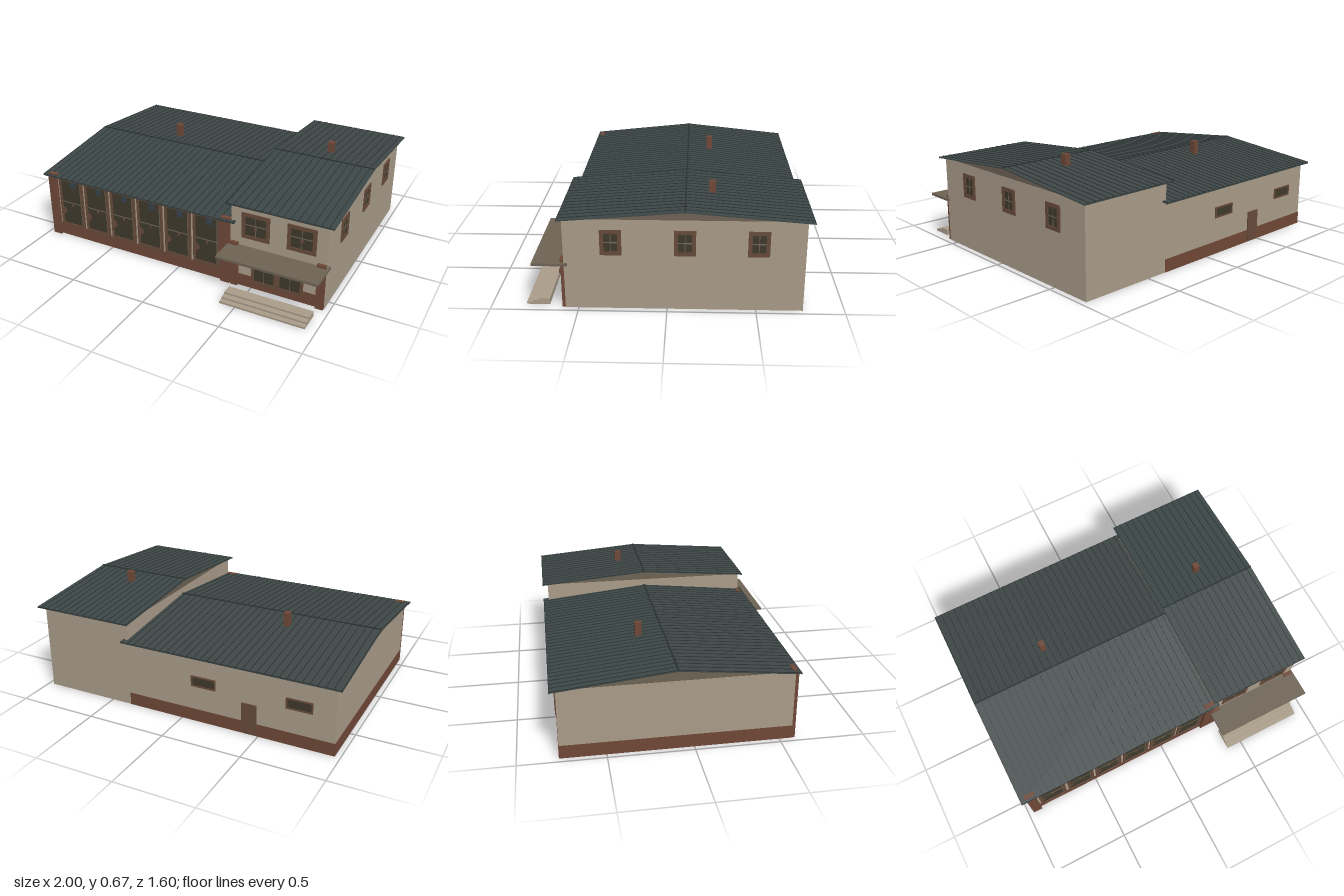
import * as THREE from 'three';

const mat = (name, color) => {
  const m = new THREE.MeshStandardMaterial({ color });
  m.name = name;
  return m;
};

export function createModel() {
  const model = new THREE.Group();
  model.name = 'firehouseBuilding';
  const M = {
    wall: mat('plaster', 0xa89b88),
    trim: mat('taupeTrim', 0x6d6254),
    brick: mat('brick', 0x6e4737),
    frame: mat('brownFrame', 0x66493a),
    glass: mat('darkGlass', 0x3f392b),
    pane: mat('bluePane', 0x36434c),
    roof: mat('roofMetal', 0x3d4646),
    rib: mat('roofRib', 0x2a3131),
  };

  const add = (parent, name, geometry, material) => {
    const mesh = new THREE.Mesh(geometry, material);
    mesh.name = name;
    parent.add(mesh);
    return mesh;
  };
  // Box given by its limits on each axis
  const box = (parent, name, material, x0, x1, y0, y1, z0, z1) => {
    const g = new THREE.BoxGeometry(x1 - x0, y1 - y0, z1 - z0);
    g.translate((x0 + x1) / 2, (y0 + y1) / 2, (z0 + z1) / 2);
    return add(parent, name, g, material);
  };
  // Profile of [z, y] points swept along x
  const prism = (parent, name, material, points, x0, x1) => {
    const shape = new THREE.Shape(points.map(([z, y]) => new THREE.Vector2(-z, y)));
    const g = new THREE.ExtrudeGeometry(shape, { depth: x1 - x0, bevelEnabled: false });
    g.rotateY(Math.PI / 2);
    g.translate(x0, 0, 0);
    return add(parent, name, g, material);
  };

  const FRONT = 0.575, BACK = -0.765, RIDGE = -0.1;

  // Ribbed gable roof with its gable infill
  function gableRoof(name, x0, x1, wall0, wall1, eave, ridge) {
    const g = new THREE.Group();
    g.name = name;
    const t = 0.006, zf = 0.6, zb = -0.8;
    prism(g, 'roofSheet', M.roof, [[zf, eave - t], [zf, eave], [RIDGE, ridge], [zb, eave],
      [zb, eave - t], [RIDGE, ridge - t]], x0, x1);
    prism(g, 'gable', M.trim, [[FRONT, eave - t], [RIDGE, ridge - t], [BACK, eave - t]], wall0, wall1);
    const r = 0.003, step = 0.0446;
    for (let x = x0 + 0.002; x < x1 - 0.004; x += step) {
      prism(g, 'roofRib', M.rib, [[zf, eave - t], [zf, eave + r], [RIDGE, ridge + r], [zb, eave + r],
        [zb, eave - t], [RIDGE, ridge - 0.002]], x, x + 0.004);
    }
    box(g, 'ridgeCap', M.rib, x0, x1, ridge - 0.002, ridge + 0.004, RIDGE - 0.005, RIDGE + 0.005);
    for (const [a, b] of [[zf - 0.003, zf], [zb, zb + 0.003]])
      box(g, 'eaveEdge', M.rib, x0, x1, eave - t - 0.002, eave + 0.001, a, b);
    model.add(g);
  }

  // Framed window facing +z, centred on its own origin
  function framedWindow(name, w, h, b, mullionV = true, barY = 0, depth = 0.008) {
    const g = new THREE.Group();
    g.name = name;
    const X = w / 2, Y = h / 2;
    for (const s of [-1, 1]) {
      const x = s * (X - b / 2), y = s * (Y - b / 2);
      box(g, 'frameSide', M.frame, x - b / 2, x + b / 2, -Y, Y, -0.002, depth);
      box(g, 'frameRail', M.frame, -X + b, X - b, y - b / 2, y + b / 2, -0.002, depth);
    }
    box(g, 'glass', M.glass, -X + b, X - b, -Y + b, Y - b, -0.002, 0.003);
    box(g, 'crossBar', M.trim, -X + b, X - b, barY - 0.003, barY + 0.003, 0, 0.005);
    if (mullionV) box(g, 'mullion', M.trim, -0.002, 0.002, -Y + b, Y - b, 0, 0.0045);
    model.add(g);
    return g;
  }
  const disc = (parent, name, material, r, x, y, z, start = 0, sweep = Math.PI * 2) => {
    const m = add(parent, name, new THREE.CircleGeometry(r, 16, start, sweep), material);
    m.position.set(x, y, z);
  };

  // Low hall and tall wing
  box(model, 'hallBase', M.brick, -0.967, 0.365, 0, 0.08, BACK - 0.002, FRONT + 0.002);
  box(model, 'hallWalls', M.wall, -0.965, 0.365, 0.08, 0.425, BACK, FRONT);
  box(model, 'wingWalls', M.wall, 0.365, 0.965, 0, 0.546, BACK, FRONT);
  gableRoof('hallRoof', -1, 0.395, -0.965, 0.365, 0.432, 0.505);
  gableRoof('wingRoof', 0.34, 1, 0.365, 0.965, 0.552, 0.61);

  // Chimneys
  for (const [x, y0, y1] of [[-0.455, 0.47, 0.575], [0.665, 0.58, 0.665]])
    box(model, 'chimney', M.brick, x - 0.018, x + 0.018, y0, y1, -0.27, -0.23);

  // Six glazed bays of the hall
  for (let i = 0; i < 6; i++) {
    const bay = framedWindow('bayDoor', 0.184, 0.345, 0.017, false, 0.0);
    bay.position.set(-0.8 + 0.2 * i, 0.2525, FRONT);
    disc(bay, 'roundPanel', M.frame, 0.026, -0.075, -0.065, 0.004, -Math.PI / 2, Math.PI);
    box(bay, 'bluePane', M.pane, -0.004, 0.036, 0.108, 0.155, 0.002, 0.004);
    box(bay, 'handle', M.frame, -0.002, 0.01, -0.025, -0.006, 0.002, 0.006);
    box(bay, 'doorStile', M.trim, 0.068, 0.073, -0.155, 0.155, 0.002, 0.005);
  }
  box(model, 'bayLintel', M.brick, -0.91, 0.3, 0.42, 0.432, FRONT - 0.005, FRONT + 0.01);

  // Brick pillars with caps
  for (const [x0, x1, top] of [[-0.965, -0.905, 0.43], [0.3, 0.36, 0.43], [0.367, 0.413, 0.288], [0.913, 0.962, 0.288]]) {
    box(model, 'pillar', M.brick, x0, x1, 0, top, 0.56, 0.594);
    box(model, 'pillarCap', M.brick, x0 - 0.003, x1 + 0.003, top, top + 0.011, 0.555, top > 0.4 ? 0.583 : 0.597);
  }

  // Entrance: brick skirting, double doors, lamps, canopy and steps
  box(model, 'entranceSkirtLeft', M.brick, 0.413, 0.5, 0, 0.08, FRONT - 0.005, FRONT + 0.004);
  box(model, 'entranceSkirtRight', M.brick, 0.83, 0.913, 0, 0.08, FRONT - 0.005, FRONT + 0.004);
  box(model, 'threshold', M.brick, 0.5, 0.83, 0, 0.04, FRONT - 0.005, FRONT + 0.004);
  for (const x of [0.582, 0.748]) {
    const door = framedWindow('entranceDoor', 0.164, 0.205, 0.018, true, 0.03);
    door.position.set(x, 0.1425, FRONT);
    box(door, 'bluePane', M.pane, -0.002, 0.03, 0.05, 0.082, 0.002, 0.0047);
    box(door, 'handle', M.frame, -0.012, 0.006, -0.008, 0.01, 0.002, 0.007);
  }
  for (const x of [0.424, 0.903])
    box(model, 'wallLamp', M.frame, x - 0.008, x + 0.008, 0.188, 0.212, FRONT, 0.612);
  box(model, 'canopy', M.trim, 0.35, 0.98, 0.266, 0.281, 0.555, 0.755);
  [0.802, 0.77, 0.735].forEach((z, i) =>
    box(model, 'entranceStep', M.wall, 0.4, 0.935, i * 0.012, (i + 1) * 0.012, 0.67, z));

  // Upper front windows
  for (const x of [0.522, 0.808]) {
    const w = framedWindow('upperWindow', 0.177, 0.166, 0.022, true, 0.008);
    w.position.set(x, 0.422, FRONT);
    box(w, 'latch', M.frame, -0.008, 0.008, -0.022, 0.0, 0.002, 0.006);
  }

  // Side windows of the wing
  for (const z of [0.31, -0.1, -0.505]) {
    const w = framedWindow('sideWindow', 0.12, 0.15, 0.022);
    w.position.set(0.965, 0.41, z);
    w.rotation.y = Math.PI / 2;
  }

  // Back windows and door of the hall
  for (const x of [-0.15, -0.75]) {
    const w = framedWindow('backWindow', 0.16, 0.068, 0.008, false, -0.03);
    w.position.set(x, 0.266, BACK);
    w.rotation.y = Math.PI;
  }
  box(model, 'backDoor', M.frame, -0.49, -0.395, 0.005, 0.2, BACK - 0.008, BACK);

  return model;
}
